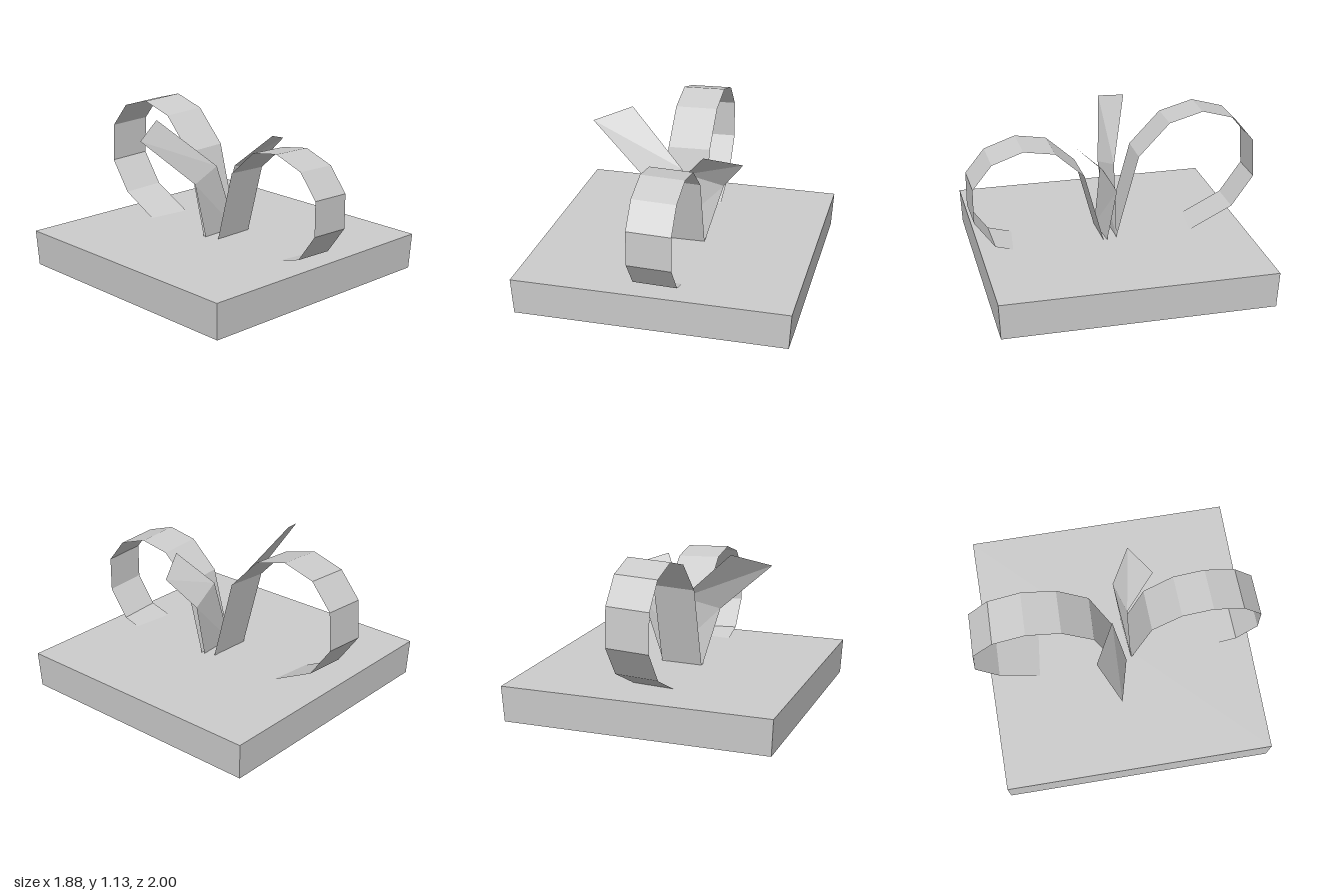
import * as THREE from 'three';

const material = new THREE.MeshStandardMaterial({ color: 0xcccccc, flatShading: true, side: THREE.DoubleSide });

// Ribbon sheet between two matching edges; each edge is a list of [x, y, z].
function ribbon(name, edgeA, edgeB) {
  const positions = [];
  for (let i = 0; i < edgeA.length - 1; i++) {
    const [a, b, c, d] = [edgeA[i], edgeB[i], edgeB[i + 1], edgeA[i + 1]];
    positions.push(...a, ...b, ...d, ...b, ...c, ...d);
  }
  const geometry = new THREE.BufferGeometry();
  geometry.setAttribute('position', new THREE.Float32BufferAttribute(positions, 3));
  geometry.computeVertexNormals();
  const mesh = new THREE.Mesh(geometry, material);
  mesh.name = name;
  return mesh;
}

// Loop of constant width, swept along a [z, y] profile with a slight roll and yaw.
function bowLoop(name, profile, left, right, roll, yaw) {
  const edge = (x, s) => profile.map(([z, y]) => [x, y + s * roll, z + s * yaw]);
  return ribbon(name, edge(left, -1), edge(right, 1));
}

export function createModel() {
  const model = new THREE.Group();

  // Lid: a slab that tapers slightly towards the bottom
  const lidGeometry = new THREE.BoxGeometry(1.88, 0.25, 1.87);
  const p = lidGeometry.attributes.position;
  for (let i = 0; i < p.count; i++) {
    if (p.getY(i) < 0) p.setXYZ(i, p.getX(i) * 0.986, p.getY(i), p.getZ(i) * 0.988);
  }
  lidGeometry.computeVertexNormals();
  const lid = new THREE.Mesh(lidGeometry, material);
  lid.name = 'lid';
  lid.position.set(0, 0.125, 0.025);
  model.add(lid);

  // Bow loops
  model.add(bowLoop('frontLoop', [
    [0.1, 0.24], [0.235, 0.745], [0.435, 0.925], [0.65, 0.96], [0.865, 0.885],
    [0.998, 0.72], [0.998, 0.48], [0.86, 0.29], [0.7, 0.245],
  ], -0.125, 0.172, -0.006, -0.004));
  model.add(bowLoop('backLoop', [
    [0, 0.24], [-0.16, 0.83], [-0.375, 1.055], [-0.61, 1.12], [-0.835, 1.055],
    [-0.98, 0.88], [-0.993, 0.61], [-0.84, 0.395], [-0.54, 0.245],
  ], -0.155, 0.145, 0.006, 0.005));

  // Ribbon tails: upright at the base, folded outwards halfway up
  model.add(ribbon('rightTail',
    [[-0.155, 0.245, 0.01], [-0.275, 0.66, 0.037], [-0.67, 1.015, -0.06]],
    [[0.14, 0.245, 0], [-0.02, 0.73, -0.02], [-0.42, 1.095, -0.187]]));
  model.add(ribbon('leftTail',
    [[0.17, 0.245, 0.075], [0.29, 0.66, 0.035], [0.45, 0.885, 0.165]],
    [[-0.12, 0.245, 0.1], [0.04, 0.745, 0.095], [0.205, 0.965, 0.297]]));

  return model;
}
